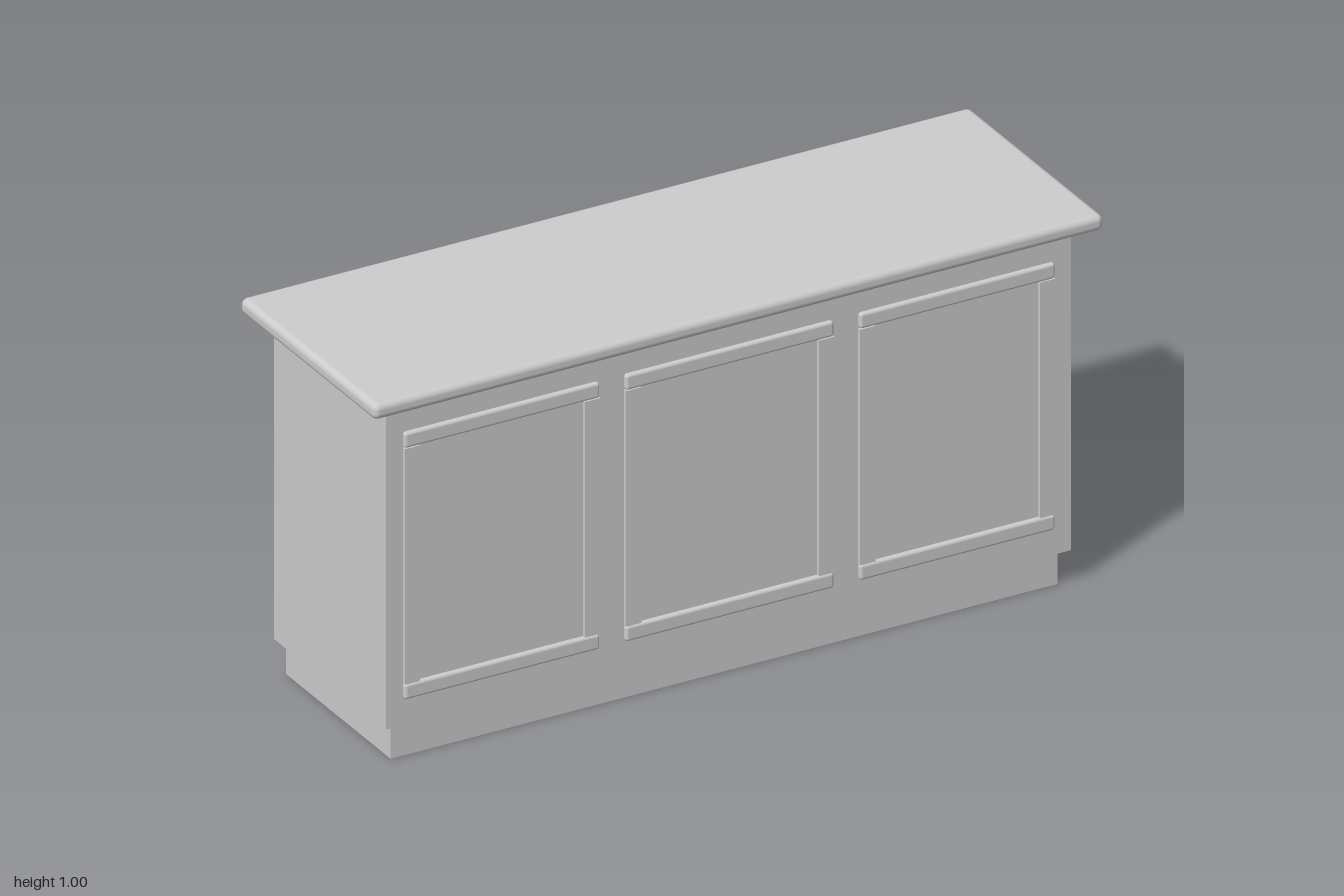
import * as THREE from 'three';
import { RoundedBoxGeometry } from 'three/addons/geometries/RoundedBoxGeometry.js';

export function createModel() {
  const model = new THREE.Group();
  model.name = 'counterCabinet';
  const grey = new THREE.MeshStandardMaterial({ color: 0xcccccc });
  grey.name = 'light grey';

  // Box given by its minimum and maximum corners; a radius rounds its edges
  function box(name, min, max, radius = 0, parent = model) {
    const s = max.map((v, i) => v - min[i]);
    const geo = radius ? new RoundedBoxGeometry(s[0], s[1], s[2], 4, radius) : new THREE.BoxGeometry(...s);
    const mesh = new THREE.Mesh(geo, grey);
    mesh.position.set(...max.map((v, i) => (v + min[i]) / 2));
    mesh.name = name;
    parent.add(mesh);
  }

  const W = 0.938, back = -0.268, front = 0.272, floor = 0.093, top = 0.958, t = 0.018;

  // Plinth and worktop
  box('plinth', [-0.914, 0, -0.252], [0.912, floor, 0.252]);
  box('worktop', [-1, 0.957, -0.325], [1, 1, 0.325], 0.017);

  // Carcass, open at the back
  box('frontPanel', [-W, floor, front - t], [W, top, front]);
  for (const s of [-1, 1]) {
    const x = s * (W - t / 2);
    box(s < 0 ? 'rightSide' : 'leftSide', [x - t / 2, floor, back], [x + t / 2, top, front - t]);
  }
  box('floorPanel', [-W + t, floor, back], [W - t, floor + t, front - t]);

  // Pigeonholes: seven columns by four rows
  const columns = 7, rows = 4;
  for (let i = 1; i < columns; i++) {
    const x = -W + t / 2 + (i * (2 * W - t)) / columns;
    box('divider', [x - t / 2, floor + t, back], [x + t / 2, top, front - t]);
  }
  for (let j = 1; j < rows; j++) {
    const y = floor + t / 2 + (j * (top - floor - t / 2)) / rows;
    box('shelf', [-W + t, y - t / 2, back - 0.001], [W - t, y + t / 2, front - t]);
  }

  // Raised frames on the front
  const y0 = 0.164, y1 = 0.88, w = 0.042, z0 = front - 0.012, z1 = 0.283;
  for (const [x0, x1] of [[-0.892, -0.357], [-0.286, 0.284], [0.355, 0.89]]) {
    const frame = new THREE.Group();
    frame.name = 'frontFrame';
    model.add(frame);
    box('bottomRail', [x0, y0, z0], [x1, y0 + w, z1], 0.008, frame);
    box('topRail', [x0, y1 - w, z0], [x1, y1, z1], 0.008, frame);
    box('rightStile', [x0, y0 + w, z0], [x0 + w, y1 - w, z1 - 0.001], 0, frame);
    box('leftStile', [x1 - w, y0 + w, z0], [x1, y1 - w, z1 - 0.001], 0, frame);
  }
  return model;
}
